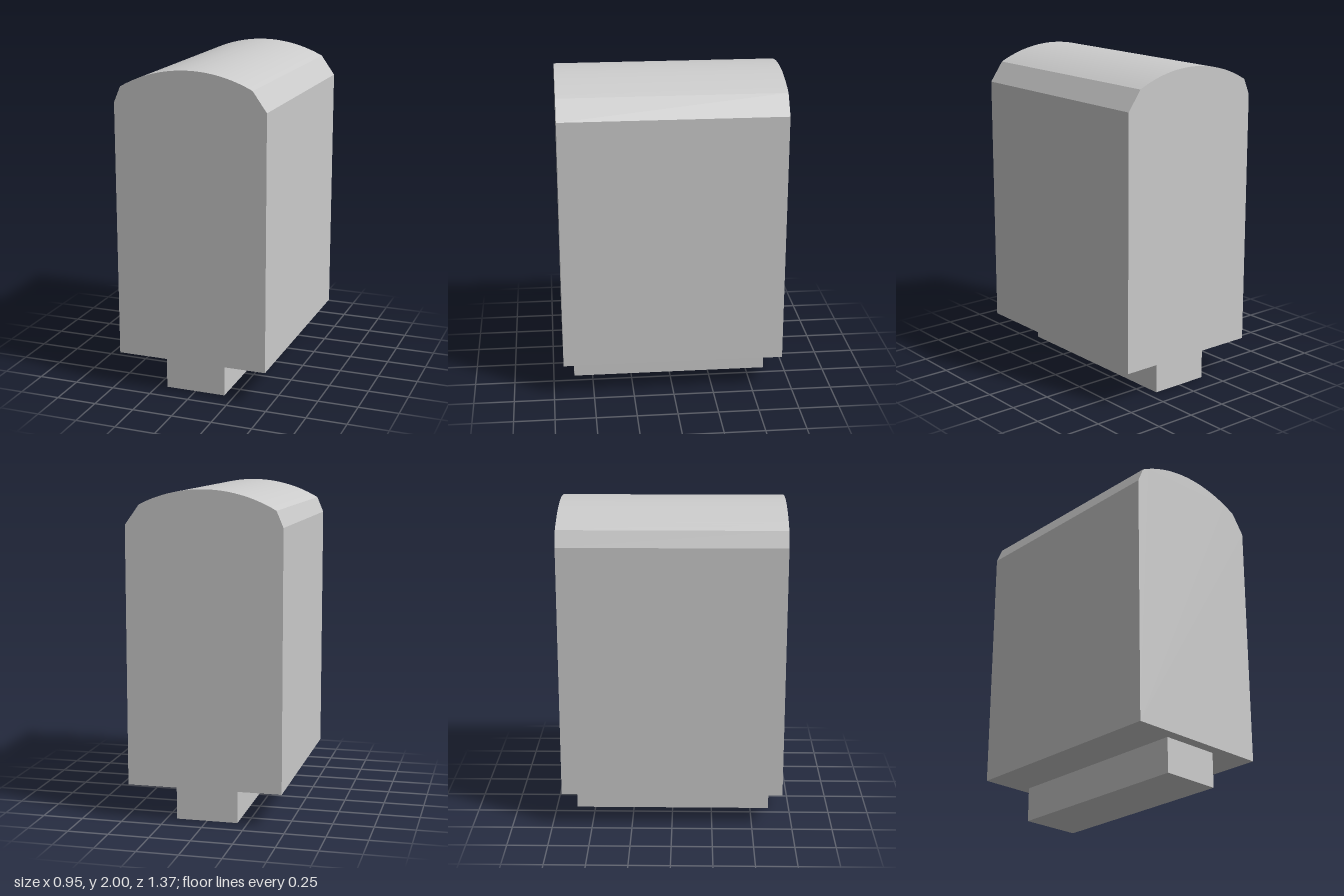
import * as THREE from 'three';
import { toCreasedNormals } from 'three/addons/utils/BufferGeometryUtils.js';

export function createModel() {
  const model = new THREE.Group();
  const material = new THREE.MeshStandardMaterial({ color: 0xcccccc });

  // Body: upright slab with an arched top; the two shoulder bevels differ in width
  const bottom = 0.216, halfWidth = 0.473, shoulder = 1.787;
  const radius = 0.86, centerY = 2 - radius;
  const rightEnd = Math.acos(0.387 / radius);
  const leftEnd = Math.PI - Math.acos(0.432 / radius);

  const profile = new THREE.Shape();
  profile.moveTo(-halfWidth, bottom);
  profile.lineTo(halfWidth, bottom);
  profile.lineTo(halfWidth, shoulder);
  profile.absarc(0, centerY, radius, rightEnd, leftEnd, false);
  profile.lineTo(-halfWidth, shoulder);
  profile.closePath();

  const depth = 1.374;
  const bodyGeometry = new THREE.ExtrudeGeometry(profile, { depth, bevelEnabled: false, curveSegments: 24 });
  bodyGeometry.translate(0, 0, -depth / 2);
  const body = new THREE.Mesh(toCreasedNormals(bodyGeometry, 0.2), material);
  body.name = 'body';
  model.add(body);

  // Foot: narrow block under the body
  const foot = new THREE.Mesh(new THREE.BoxGeometry(0.378, bottom, 1.236), material);
  foot.position.y = bottom / 2;
  foot.name = 'foot';
  model.add(foot);

  return model;
}
